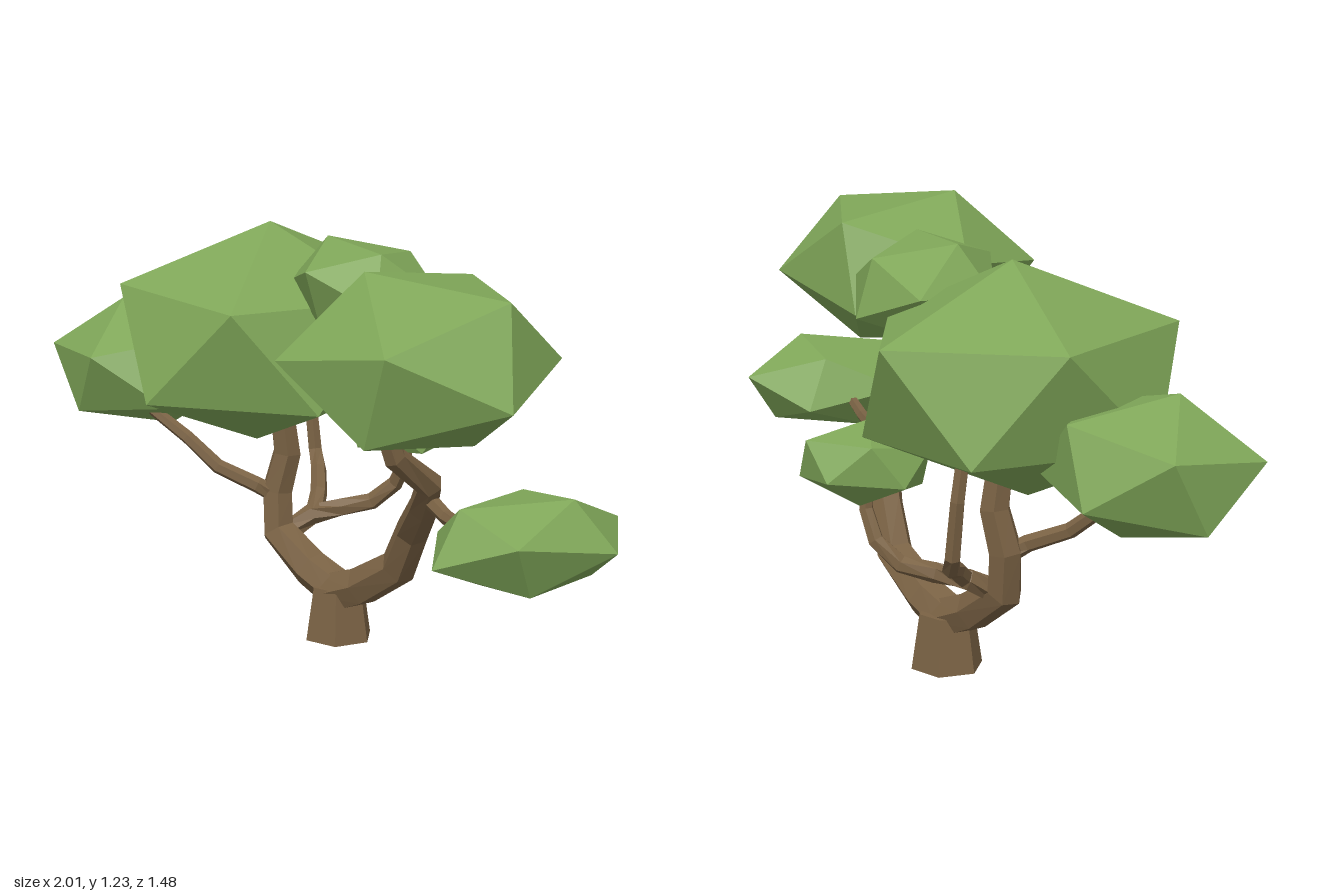
import * as THREE from 'three';

const bark = new THREE.MeshStandardMaterial({ color: 0x7a6244, flatShading: true });
const leaf = new THREE.MeshStandardMaterial({ color: 0x7fa658, flatShading: true });
const SIDES = 6;
const vec = (p) => new THREE.Vector3(...p);

function add(group, name, geometry, material) {
  const mesh = new THREE.Mesh(geometry, material);
  mesh.name = name;
  group.add(mesh);
  return mesh;
}

// Faceted tapering limb swept along a polyline
function limbGeometry(path, r0, r1) {
  const points = path.map(vec);
  const last = points.length - 1;
  const side = new THREE.Vector3(-0.6, 0, 0.8);
  const positions = [], index = [];
  points.forEach((p, i) => {
    const t = points[Math.min(i + 1, last)].clone().sub(points[Math.max(i - 1, 0)]).normalize();
    const u = side.clone().addScaledVector(t, -side.dot(t)).normalize();
    const v = t.clone().cross(u);
    const r = THREE.MathUtils.lerp(r0, r1, i / last);
    for (let j = 0; j < SIDES; j++) {
      const a = (j / SIDES) * Math.PI * 2;
      const q = p.clone().addScaledVector(u, r * Math.cos(a)).addScaledVector(v, r * Math.sin(a));
      positions.push(q.x, q.y, q.z);
      if (i === last) continue;
      const k = (j + 1) % SIDES, b = i * SIDES, c = b + SIDES;
      index.push(b + j, b + k, c + k, b + j, c + k, c + j);
    }
  });
  // End caps
  for (let j = 1; j < SIDES - 1; j++) {
    const e = last * SIDES;
    index.push(0, j + 1, j, e, e + j, e + j + 1);
  }
  const g = new THREE.BufferGeometry();
  g.setAttribute('position', new THREE.Float32BufferAttribute(positions, 3));
  g.setIndex(index);
  g.computeVertexNormals();
  return g;
}

// Squashed icosahedron, stretched so that one face lands on corners a, b, c (relative to its centre)
function clumpGeometry(a, b, c) {
  const g = new THREE.IcosahedronGeometry(1, 0);
  const corner = (i) => new THREE.Vector3().fromBufferAttribute(g.attributes.position, i);
  const from = new THREE.Matrix4().makeBasis(corner(0), corner(1), corner(2)).invert();
  const to = new THREE.Matrix4().makeBasis(vec(a), vec(b), vec(c));
  g.applyMatrix4(to.multiply(from));
  g.computeVertexNormals();
  return g;
}

export function createModel() {
  const tree = new THREE.Group();
  tree.name = 'tree';

  // Trunk stump
  const trunk = add(tree, 'trunk', new THREE.CylinderGeometry(0.08, 0.104, 0.16, SIDES), bark);
  trunk.position.set(0, 0.08, -0.215);
  trunk.rotation.y = 0.25;

  // Limbs and branches: name, start radius, end radius, path
  const limbs = [
    ['leftLimb', 0.066, 0.028, [[-0.03, 0.13, -0.22], [0.09, 0.18, -0.17], [0.22, 0.27, -0.11], [0.28, 0.4, -0.05],
      [0.35, 0.51, 0.07], [0.4, 0.61, 0.18], [0.34, 0.71, 0.3], [0.31, 0.84, 0.34]]],
    ['rightLimb', 0.062, 0.036, [[0.03, 0.13, -0.2], [-0.1, 0.19, -0.25], [-0.22, 0.28, -0.3], [-0.23, 0.4, -0.315],
      [-0.2, 0.52, -0.32], [-0.21, 0.63, -0.31], [-0.23, 0.78, -0.31]]],
    ['leftBranch', 0.024, 0.015, [[0.37, 0.56, 0.12], [0.46, 0.53, 0.21], [0.56, 0.53, 0.32], [0.68, 0.56, 0.44]]],
    ['rightBranch', 0.027, 0.016, [[-0.22, 0.38, -0.31], [-0.28, 0.42, -0.28], [-0.4, 0.47, -0.265],
      [-0.5, 0.55, -0.27], [-0.62, 0.62, -0.29], [-0.68, 0.68, -0.36]]],
    ['middleBranch', 0.034, 0.018, [[-0.2, 0.27, -0.29], [-0.14, 0.32, -0.36], [-0.06, 0.34, -0.4], [0.03, 0.36, -0.43],
      [0.1, 0.42, -0.44], [0.14, 0.5, -0.42], [0.14, 0.58, -0.41]]],
    ['backBranch', 0.028, 0.019, [[-0.13, 0.32, -0.36], [-0.14, 0.37, -0.43], [-0.18, 0.41, -0.54],
      [-0.21, 0.46, -0.59], [-0.23, 0.62, -0.6], [-0.24, 0.76, -0.58]]],
  ];
  for (const [name, r0, r1, path] of limbs) add(tree, name, limbGeometry(path, r0, r1), bark);

  // Foliage: name, centre, three corners of a top face
  const clumps = [
    ['mainFoliage', [-0.27, 0.885, -0.31], [0.015, 0.325, -0.02], [0.07, 0.135, 0.43], [0.42, 0.13, 0.05]],
    ['leftFoliage', [0.43, 1, 0.37], [-0.14, 0.23, 0.04], [0.26, 0.18, 0.06], [0.05, 0.175, -0.3]],
    ['farRightFoliage', [-0.7, 0.735, -0.44], [-0.07, 0.195, 0.02], [-0.3, 0.04, 0.04], [-0.065, 0.06, 0.275]],
    ['middleFoliage', [0.14, 0.632, -0.425], [0, 0.115, 0.03], [-0.02, 0.02, 0.17], [0.155, 0.04, 0.06]],
    ['topFoliage', [0.105, 1.07, -0.14], [-0.13, 0.135, -0.05], [0.09, 0.125, 0.13], [0.09, 0.09, -0.13]],
    ['farLeftFoliage', [0.765, 0.578, 0.51], [0.125, 0.13, 0.01], [-0.05, 0.1, -0.14], [-0.14, 0.11, 0.13]],
  ];
  for (const [name, centre, a, b, c] of clumps) {
    add(tree, name, clumpGeometry(a, b, c), leaf).position.set(...centre);
  }
  return tree;
}
